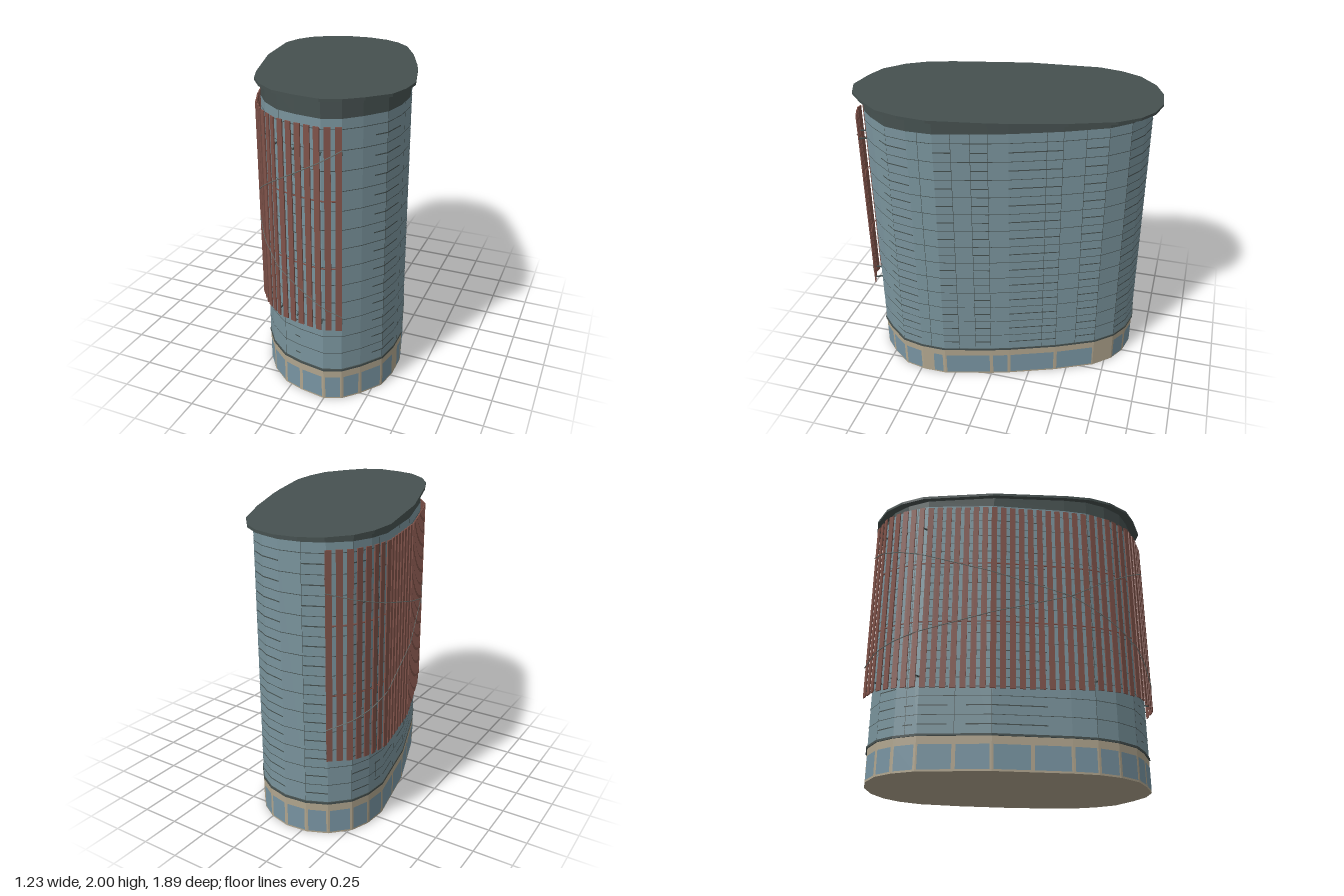
import * as THREE from 'three';
import { mergeGeometries } from 'three/addons/utils/BufferGeometryUtils.js';

// Roof plan as [x, z]; the walls use the same plan at a smaller scale
const PLAN = [
  [-0.145, -0.95], [0, -0.915], [0.115, -0.845], [0.225, -0.72], [0.355, -0.45], [0.48, -0.125],
  [0.52, 0], [0.61, 0.335], [0.61, 0.51], [0.58, 0.66], [0.475, 0.8], [0.38, 0.895],
  [0.265, 0.94], [0.09, 0.915], [-0.045, 0.875], [-0.18, 0.77], [-0.275, 0.645], [-0.345, 0.49],
  [-0.52, 0], [-0.615, -0.47], [-0.6, -0.63], [-0.55, -0.76], [-0.435, -0.875], [-0.3, -0.935],
];
const N = PLAN.length;
const WALL = 0.94;
const FIN_FIRST = 11, FIN_LAST = 22; // plan corners between which the screen runs
const roofY = (z) => 1.936 + 0.0475 * z; // underside of the sloping roof

const mat = (name, color) => {
  const m = new THREE.MeshStandardMaterial({ color });
  m.name = name;
  return m;
};

// Point on plan edge i at fraction f, scaled by k
const onEdge = (i, f, k) => {
  const a = PLAN[i % N], b = PLAN[(i + 1) % N];
  return [(a[0] + (b[0] - a[0]) * f) * k, (a[1] + (b[1] - a[1]) * f) * k];
};
const edgeLength = (i, k) => {
  const a = onEdge(i, 0, k), b = onEdge(i, 1, k);
  return Math.hypot(b[0] - a[0], b[1] - a[1]);
};

// Solid with the building's plan
function prism(k, y0, height) {
  const shape = new THREE.Shape(PLAN.map(([x, z]) => new THREE.Vector2(x * k, -z * k)));
  const g = new THREE.ExtrudeGeometry(shape, { depth: height, bevelEnabled: false });
  return g.rotateX(-Math.PI / 2).translate(0, y0, 0);
}

// Move the vertices of a geometry by a rule giving the new height
function setHeights(g, rule) {
  const p = g.attributes.position;
  for (let i = 0; i < p.count; i++) p.setY(i, rule(p.getY(i), p.getZ(i)));
  g.computeVertexNormals();
  return g;
}

// Flat panels lying on the wall: each is [edge, from, to, y0, y1]
function panels(list, k) {
  const pos = [];
  for (const [i, f0, f1, y0, y1] of list) {
    const [ax, az] = onEdge(i, f0, k), [bx, bz] = onEdge(i, f1, k);
    pos.push(ax, y0, az, bx, y1, bz, bx, y0, bz, ax, y0, az, ax, y1, az, bx, y1, bz);
  }
  const g = new THREE.BufferGeometry();
  g.setAttribute('position', new THREE.Float32BufferAttribute(pos, 3));
  g.computeVertexNormals();
  return g;
}

// Screen path sampled by distance, t from 0 to 1
const finLengths = [];
for (let i = FIN_FIRST; i < FIN_LAST; i++) finLengths.push(edgeLength(i, 1));
const finTotal = finLengths.reduce((a, b) => a + b, 0);
function alongScreen(t, k) {
  let d = t * finTotal, j = 0;
  while (j < finLengths.length - 1 && d > finLengths[j]) d -= finLengths[j++];
  const i = FIN_FIRST + j;
  const [x, z] = onEdge(i, d / finLengths[j], k);
  const a = PLAN[i], b = PLAN[i + 1];
  return { x, z, turn: Math.atan2(-(b[1] - a[1]), b[0] - a[0]) };
}

// Rod following the screen with height given by a rule
function screenRod(rule, k, radius) {
  const path = new THREE.CurvePath();
  const pts = [];
  for (let s = 0; s <= 48; s++) {
    const { x, z } = alongScreen(s / 48, k);
    pts.push(new THREE.Vector3(x, rule(s / 48), z));
  }
  for (let s = 0; s < 48; s++) path.add(new THREE.LineCurve3(pts[s], pts[s + 1]));
  return new THREE.TubeGeometry(path, 96, radius, 4);
}

export function createModel() {
  const root = new THREE.Group();
  root.name = 'officeTower';
  const glass = mat('blueGlass', 0x79939c);
  const dark = mat('darkSlate', 0x465150);
  const stone = mat('beigeStone', 0xb0a58e);
  const brown = mat('terracotta', 0x80534a);
  const pane = mat('groundFloorGlass', 0x7894a2);
  const steel = mat('steelCable', 0x6b706c);
  const add = (name, g, m) => {
    const mesh = new THREE.Mesh(g, m);
    mesh.name = name;
    root.add(mesh);
  };

  // Main volumes
  add('stoneBase', prism(WALL, 0, 0.216), stone);
  add('baseLedge', prism(0.948, 0.216, 0.014), dark);
  add('glassBody', prism(WALL, 0.23, 1.64), glass);
  add('roofFascia', setHeights(prism(WALL, 1.87, 0.1), (y, z) => (y > 1.9 ? roofY(z) : y)), dark);
  add('roofSlab', setHeights(prism(1, 0, 0.018), (y, z) => y + roofY(z)), dark);

  // Floor lines: full rings, with broken lines on the floors between
  const dashes = [
    [0, 0, 1], [1, 0, 1], [3, 0, 0.5], [4, 0, 1], [6, 0, 0.32], [6, 0.67, 1], [8, 0, 1], [9, 0, 0.5],
    [13, 0, 0.3], [17, 0.3, 1], [18, 0, 0.35], [18, 0.6, 1], [19, 0.2, 0.6], [20, 0, 1], [22, 0, 1],
  ];
  const lines = [];
  for (let n = 0; n < 26; n++) {
    const y = 0.29 + n * 0.0608;
    if (n % 2) for (let i = 0; i < N; i++) lines.push([i, 0, 1, y - 0.002, y + 0.002]);
    else for (const d of dashes) lines.push([...d, y - 0.0035, y + 0.0035]);
  }
  add('floorLines', panels(lines, 0.9425), dark);

  // Thin upright joints in the glass
  const joints = [[2, 0], [3, 0], [3, 0.5], [4, 0], [4, 0.3], [6, 0], [6, 0.32], [6, 0.67], [7, 0.55],
    [9, 0], [13, 0.9], [16, 0], [18, 0], [18, 0.5], [19, 0.5], [21, 0], [23, 0]];
  add('glassJoints', panels(joints.map(([i, f]) =>
    [i, f, f + 0.003 / edgeLength(i, WALL), 0.23, 1.87]), 0.9425), dark);

  // Ground floor windows, leaving one wall section blank
  const windows = [];
  for (let i = 0; i < N; i++) {
    if (i === 2) continue;
    const len = edgeLength(i, WALL), gap = 0.012 / len;
    if (i === 7) { windows.push([i, 0.1, 0.5, 0.012, 0.165]); continue; }
    const n = Math.max(1, Math.round(len / 0.22));
    for (let j = 0; j < n; j++) windows.push([i, j / n + gap, (j + 1) / n - gap, 0.012, 0.165]);
  }
  add('groundFloorWindows', panels(windows, 0.943), pane);

  // Screen of upright fins wrapping one side
  const fins = [];
  const count = 39;
  for (let j = 0; j < count; j++) {
    const { x, z, turn } = alongScreen((j + 0.3) / (count - 0.4), 0.993);
    const bottom = 0.51 + 0.052 * z * z;
    const g = new THREE.BoxGeometry(0.037, 1.84 - bottom, 0.008);
    fins.push(g.rotateY(turn).translate(x, (1.84 + bottom) / 2, z));
  }
  add('screenFins', mergeGeometries(fins), brown);

  // Rails behind the fins and crossing cables in front
  add('screenRails', mergeGeometries([0.97, 1.4].map((y) => screenRod(() => y, 0.982, 0.005))), brown);
  const rise = (t) => (t < 0.39 ? -0.53 + (0.53 * t) / 0.39 : (0.42 * (t - 0.39)) / 0.61);
  add('crossCables', mergeGeometries([1, -1].map((s) =>
    screenRod((t) => 1.18 + s * rise(t), 1.003, 0.003))), steel);

  // Brackets tying the screen to the wall
  const brackets = [];
  for (let i = FIN_FIRST; i <= FIN_LAST; i++) {
    const [x, z] = PLAN[i];
    for (const y of [0.6, 1.68]) {
      const g = new THREE.BoxGeometry(0.008, 0.008, 0.06 * Math.hypot(x, z));
      brackets.push(g.rotateY(Math.atan2(x, z)).translate(x * 0.96, y, z * 0.96));
    }
  }
  add('screenBrackets', mergeGeometries(brackets), dark);
  return root;
}
